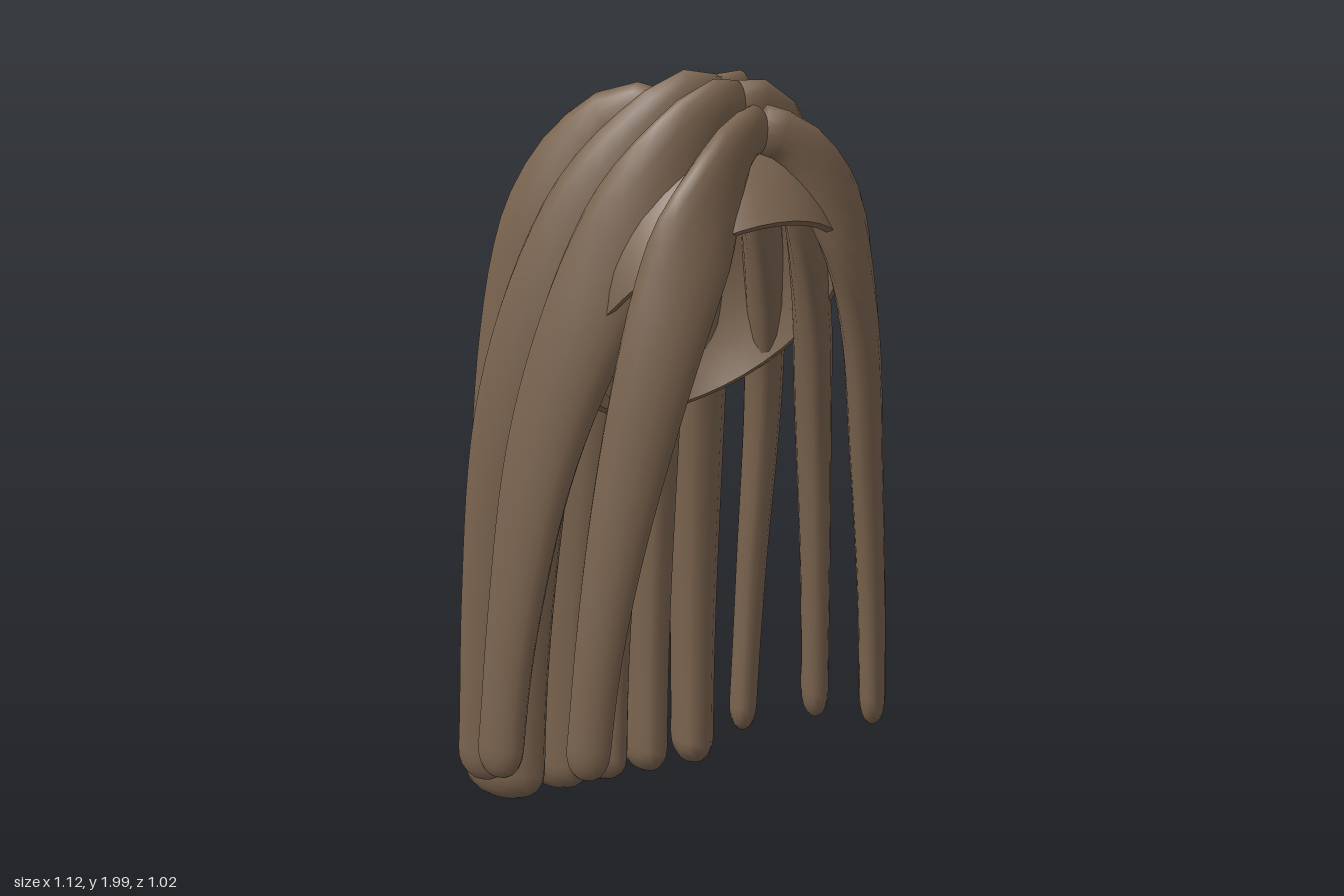
import * as THREE from 'three';
import { mergeGeometries } from 'three/addons/utils/BufferGeometryUtils.js';

const V = (x, y, z) => new THREE.Vector3(x, y, z);
const { lerp, smoothstep } = THREE.MathUtils;

// Skin closed rings of points into a smooth surface
function skin(rings) {
  const n = rings[0].length, pos = [], idx = [];
  rings.forEach(r => r.forEach(p => pos.push(p.x, p.y, p.z)));
  for (let i = 0; i < rings.length - 1; i++) {
    for (let j = 0; j < n; j++) {
      const a = i * n + j, b = i * n + (j + 1) % n;
      idx.push(a, b, a + n, b, b + n, a + n);
    }
  }
  const g = new THREE.BufferGeometry();
  g.setAttribute('position', new THREE.Float32BufferAttribute(pos, 3));
  g.setIndex(idx);
  g.computeVertexNormals();
  return g;
}

// Half-width along a lock: swells quickly from the root, then thins toward the tip
const swell = ([root, mid, tip], u) =>
  u < 0.25 ? lerp(root, mid, smoothstep(u, 0, 0.25)) : lerp(mid, tip, smoothstep(u, 0.25, 0.95));

// Hair lock: oval section swept along a curve, its depth turning from up to outward
function lockGeometry(points, out, depth, thick) {
  const curve = new THREE.CatmullRomCurve3(points);
  const end = 0.08 / curve.getLength(), stations = [[0, 0]];
  for (let i = 0; i <= 28; i++) stations.push([(1 - end) * i / 28, 1]);
  for (let i = 1; i <= 5; i++) {
    const a = i / 5 * Math.PI / 2;
    stations.push([1 - end + end * Math.sin(a), Math.max(0, Math.cos(a)) ** 0.8]);
  }
  const rings = stations.map(([u, s]) => {
    const c = curve.getPointAt(Math.min(u, 1)), T = curve.getTangentAt(Math.min(u, 1));
    const ref = V(0, 1, 0).lerp(out, smoothstep(u, 0, 0.75));
    const N = T.clone().cross(ref).normalize(), D = N.clone().cross(T);
    const a = s * swell(depth, u), b = s * swell(thick, u);
    return Array.from({ length: 16 }, (_, j) => {
      const w = j / 16 * Math.PI * 2;
      return c.clone().addScaledVector(D, a * Math.cos(w)).addScaledVector(N, b * Math.sin(w));
    });
  });
  return skin(rings);
}

// Scalp cap: thick ellipsoid shell cut by a plane sloping down to the back
function capGeometry() {
  const ry = 0.5, slope = 0.83, rz = 0.4, n = 40, rows = 14;
  const ring = (v, k) => Array.from({ length: n }, (_, j) => {
    const f = -j / n * Math.PI * 2;
    const t = v * (Math.PI / 2 - Math.atan2(slope * rz * Math.cos(f), ry));
    return V(0.355 * k * Math.sin(t) * Math.sin(f), 1.35 + ry * k * Math.cos(t),
      0.17 + rz * k * Math.sin(t) * Math.cos(f) + 0.012 * Math.max(0, Math.cos(f)) ** 6 * v);
  });
  const outer = [], inner = [];
  for (let i = 0; i <= rows; i++) {
    outer.push(ring(i / rows, 1));
    inner.push(ring(1 - i / rows, 0.96));
  }
  return mergeGeometries([skin(outer), skin([outer[rows], inner[0]]), skin(inner)]);
}

export function createModel() {
  const group = new THREE.Group();
  const hair = new THREE.MeshStandardMaterial({ color: 0x7b644f });
  hair.name = 'brownHair';
  const add = (name, geometry) => {
    const m = new THREE.Mesh(geometry, hair);
    m.name = name;
    group.add(m);
  };

  add('scalpCap', capGeometry());

  // Locks falling to each side from the centre parting; half-widths are [root, middle, tip]
  const sideLocks = [
    { name: 'frontLock', out: [0.62, -0.78], depth: [0.06, 0.105, 0.058], thick: [0.036, 0.05, 0.036],
      path: [[0, 1.85, 0.37], [0.09, 1.81, 0.405], [0.2, 1.65, 0.425], [0.295, 1.38, 0.405],
        [0.38, 0.95, 0.345], [0.43, 0.6, 0.31], [0.46, 0.245, 0.285]] },
    { name: 'templeLock', out: [0.45, -0.89], depth: [0.07, 0.13, 0.066], thick: [0.038, 0.053, 0.038],
      path: [[0, 1.895, 0.28], [0.08, 1.89, 0.29], [0.2, 1.745, 0.26], [0.335, 1.43, 0.155],
        [0.43, 1.05, 0.05], [0.49, 0.6, -0.01], [0.52, 0.18, -0.045]] },
    { name: 'earLock', out: [0.5, -0.86], depth: [0.08, 0.14, 0.075], thick: [0.038, 0.057, 0.04],
      path: [[0, 1.9, 0.19], [0.07, 1.91, 0.18], [0.19, 1.77, 0.1], [0.32, 1.46, -0.03],
        [0.4, 1.1, -0.14], [0.43, 0.6, -0.23], [0.435, 0.1, -0.28]] },
  ];
  for (const l of sideLocks) {
    for (const s of [1, -1]) {
      add((s > 0 ? 'left ' : 'right ') + l.name, lockGeometry(
        l.path.map(p => V(s * p[0], p[1], p[2])), V(s * l.out[0], 0, l.out[1]),
        l.depth, l.thick));
    }
  }

  // Deep locks fanning out from the crown down the back: [share of reach, height]
  const profile = [[0.01, 1.78], [0.16, 1.79], [0.35, 1.69], [0.51, 1.47],
    [0.61, 1.2], [0.69, 0.8], [0.745, 0.4], [0.77, 0.005]];
  const backLocks = [
    { name: 'centre backLock', from: [0, 0.05], to: [0, -0.51], lift: 0, thick: [0.022, 0.07, 0.058] },
    { name: 'inner backLock', from: [0.03, 0.06], to: [0.19, -0.505], lift: 0.04, thick: [0.028, 0.075, 0.06] },
    { name: 'outer backLock', from: [0.09, 0.08], to: [0.385, -0.5], lift: 0.085, thick: [0.04, 0.087, 0.062] },
  ];
  for (const b of backLocks) {
    for (const s of b.from[0] ? [1, -1] : [1]) {
      const start = V(s * b.from[0], 0, b.from[1]), end = V(s * b.to[0], 0, b.to[1]);
      const points = profile.map(([r, y]) => {
        const p = start.clone().lerp(end, r);
        p.y = y + b.lift * y / 1.8;
        return p;
      });
      const side = b.from[0] ? (s > 0 ? 'left ' : 'right ') : '';
      add(side + b.name, lockGeometry(points, end.clone().sub(start).normalize(),
        [0.08, 0.165, 0.125], b.thick));
    }
  }
  return group;
}
